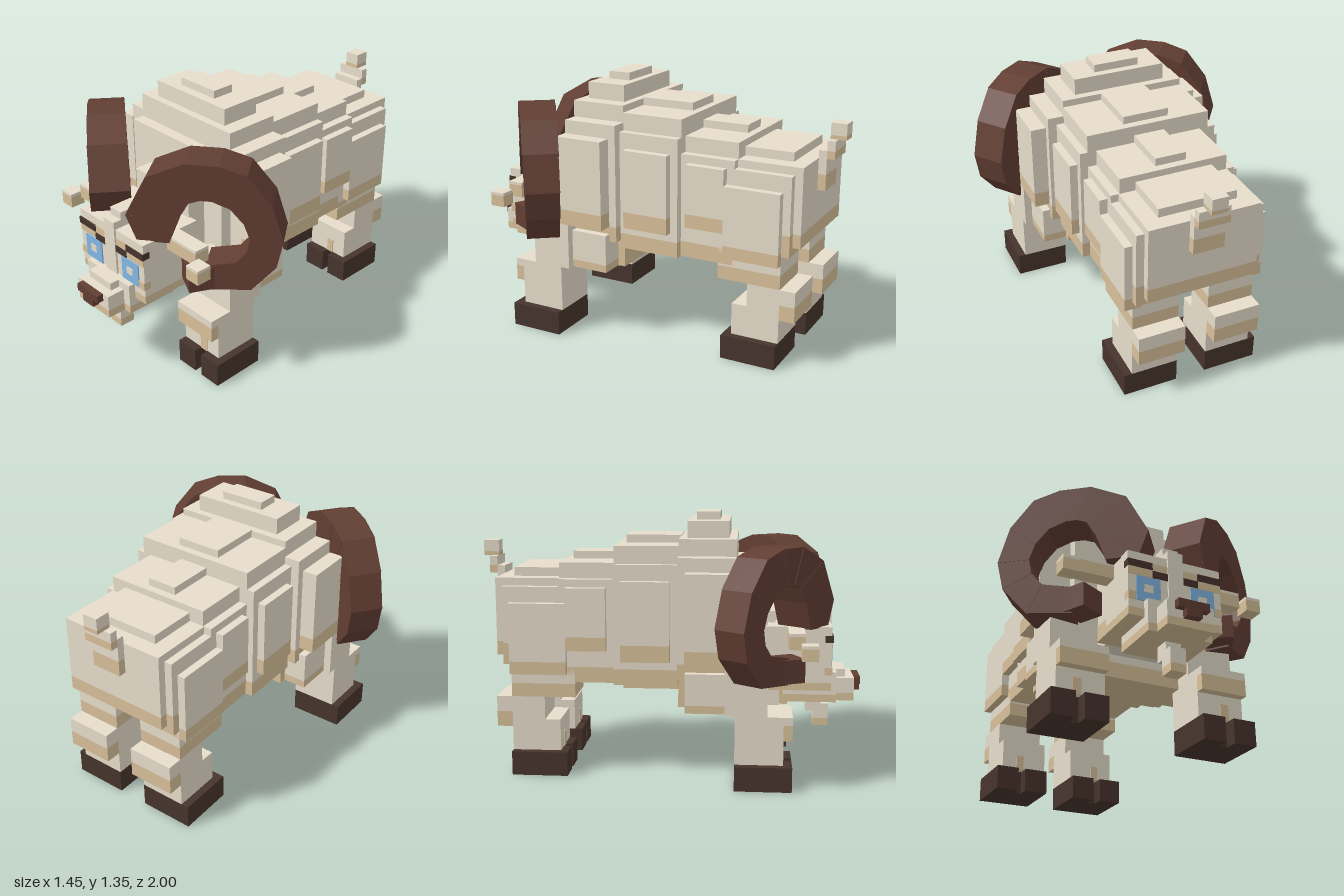
import * as THREE from 'three';

const mat = (name, color) => {
  const m = new THREE.MeshStandardMaterial({ color });
  m.name = name;
  return m;
};

export function createModel() {
  const root = new THREE.Group();
  root.name = 'ram';
  const cream = mat('creamWool', 0xe6ddcb);
  const tan = mat('tanWool', 0xd8c09a);
  const dark = mat('darkHoof', 0x47342d);
  const brown = mat('hornBrown', 0x623e33);
  const blue = mat('eyeBlue', 0x82b7e4);

  // Box given by its limits
  const box = (name, m, x0, x1, y0, y1, z0, z1) => {
    const mesh = new THREE.Mesh(new THREE.BoxGeometry(x1 - x0, y1 - y0, z1 - z0), m);
    mesh.position.set((x0 + x1) / 2, (y0 + y1) / 2, (z0 + z1) / 2);
    mesh.name = name;
    root.add(mesh);
  };
  // Box centred on x = 0
  const mid = (name, m, w, ...r) => box(name, m, -w, w, ...r);
  // Same box on the left and right sides
  const pair = (name, m, x0, x1, ...r) => {
    box(name + 'Left', m, x0, x1, ...r);
    box(name + 'Right', m, -x1, -x0, ...r);
  };
  // Cream block with a tan lower band up to height s
  const wool = (put, name, x, y0, s, y1, z0, z1) => {
    put(name + 'Band', tan, ...x, y0, s, z0, z1);
    put(name, cream, ...x, s, y1, z0, z1);
  };

  // Chest and shoulder hump
  wool(mid, 'chest', [0.41], 0.53, 0.61, 1.14, 0.06, 0.35);
  wool(mid, 'breast', [0.245], 0.33, 0.41, 0.53, 0.14, 0.41);
  mid('breastRear', tan, 0.325, 0.37, 0.53, 0.06, 0.3);
  mid('chestTop', cream, 0.325, 1.14, 1.225, 0.06, 0.35);
  mid('humpLower', cream, 0.245, 1.225, 1.31, 0.1, 0.31);
  mid('humpUpper', cream, 0.12, 1.31, 1.35, 0.14, 0.26);
  wool(pair, 'shoulderPlate', [0.41, 0.49], 0.61, 0.69, 1.07, 0.1, 0.355);
  wool(pair, 'shoulderLower', [0.325, 0.45], 0.37, 0.41, 0.57, 0.1, 0.35);
  mid('chestFront', cream, 0.325, 0.53, 1.1, 0.35, 0.41);

  // Middle of the body
  wool(mid, 'middle', [0.365], 0.49, 0.57, 1.1, -0.265, 0.06);
  mid('middleTop', cream, 0.325, 1.1, 1.19, -0.265, 0.06);
  mid('middleRidge', cream, 0.12, 1.19, 1.23, -0.225, 0.06);
  mid('belly', tan, 0.285, 0.455, 0.49, -0.225, 0.06);
  wool(pair, 'middlePlate', [0.365, 0.405], 0.615, 0.7, 1.02, -0.225, 0.02);

  // Loin
  wool(mid, 'loin', [0.325], 0.49, 0.57, 1.02, -0.55, -0.265);
  mid('loinTop', cream, 0.28, 1.02, 1.1, -0.55, -0.265);
  mid('loinRidge', cream, 0.08, 1.1, 1.14, -0.51, -0.265);
  wool(pair, 'loinPlate', [0.325, 0.365], 0.66, 0.73, 0.98, -0.51, -0.305);

  // Rump
  wool(mid, 'rump', [0.325], 0.58, 0.69, 0.98, -0.84, -0.55);
  mid('rumpTop', cream, 0.285, 0.98, 1.02, -0.84, -0.55);
  mid('rumpRidge', cream, 0.2, 1.02, 1.065, -0.8, -0.55);
  wool(mid, 'rumpBack', [0.285], 0.62, 0.69, 1.02, -0.88, -0.84);
  wool(pair, 'thighPlate', [0.28, 0.365], 0.535, 0.6, 0.9, -0.8, -0.51);

  // Tail, rising in steps
  wool(mid, 'tailBase', [0.08], 0.86, 0.94, 1.06, -0.92, -0.88);
  wool(mid, 'tailMiddle', [0.08], 1.02, 1.06, 1.11, -0.96, -0.92);
  wool(mid, 'tailTip', [0.04], 1.11, 1.13, 1.19, -1.0, -0.92);

  // Cloven hooves: a block with two toes in front
  const hoof = (name, x0, x1, n0, n1, z0, z1) => {
    pair(name + 'Heel', dark, x0, x1, 0, 0.125, z0, z1 - 0.07);
    pair(name + 'InnerToe', dark, x0, n0, 0, 0.125, z1 - 0.07, z1);
    pair(name + 'OuterToe', dark, n1, x1, 0, 0.125, z1 - 0.07, z1);
  };
  hoof('frontHoof', 0.245, 0.53, 0.365, 0.41, 0.35, 0.635);
  hoof('rearHoof', 0.08, 0.365, 0.205, 0.245, -0.8, -0.51);

  // Front legs
  pair('frontLeg', cream, 0.245, 0.49, 0.125, 0.37, 0.35, 0.59);
  wool(pair, 'frontKnee', [0.245, 0.49], 0.25, 0.33, 0.37, 0.59, 0.635);
  pair('frontLegUpper', cream, 0.245, 0.49, 0.37, 0.61, 0.3, 0.51);
  pair('frontShinMark', tan, 0.365, 0.41, 0.125, 0.205, 0.59, 0.595);

  // Rear legs
  pair('rearLeg', cream, 0.08, 0.325, 0.125, 0.29, -0.8, -0.55);
  pair('rearLegMiddle', cream, 0.08, 0.325, 0.29, 0.41, -0.8, -0.63);
  wool(pair, 'rearLegUpper', [0.08, 0.325], 0.41, 0.48, 0.58, -0.8, -0.47);
  wool(pair, 'rearHock', [0.08, 0.325], 0.25, 0.33, 0.41, -0.88, -0.8);
  pair('rearShinMark', tan, 0.205, 0.245, 0.125, 0.205, -0.55, -0.545);

  // Neck and head
  mid('neck', cream, 0.2, 0.45, 0.9, 0.41, 0.51);
  mid('neckFront', cream, 0.12, 0.5, 0.84, 0.51, 0.55);
  wool(mid, 'headBack', [0.245], 0.45, 0.53, 0.78, 0.5, 0.6);
  wool(mid, 'head', [0.245], 0.45, 0.49, 0.78, 0.6, 0.835);
  mid('noseBridge', cream, 0.04, 0.53, 0.82, 0.8, 0.845);
  mid('crest', cream, 0.04, 0.78, 0.86, 0.55, 0.8);
  wool(mid, 'jaw', [0.165], 0.37, 0.41, 0.45, 0.6, 0.87);
  mid('snoutBase', cream, 0.165, 0.41, 0.53, 0.835, 0.87);
  mid('snoutTop', cream, 0.085, 0.49, 0.53, 0.87, 0.92);
  wool(mid, 'snout', [0.12], 0.37, 0.41, 0.49, 0.87, 0.965);
  mid('noseUpper', brown, 0.08, 0.45, 0.49, 0.965, 1.0);
  mid('noseLower', brown, 0.04, 0.41, 0.45, 0.965, 1.0);

  // Beard
  mid('beard', cream, 0.04, 0.29, 0.37, 0.72, 0.8);
  wool(mid, 'beardTip', [0.04], 0.21, 0.25, 0.33, 0.76, 0.84);

  // Eyes and brows
  pair('browPatch', tan, 0.04, 0.245, 0.66, 0.735, 0.835, 0.838);
  pair('browOuter', dark, 0.12, 0.247, 0.7, 0.735, 0.8, 0.843);
  pair('browInner', dark, 0.04, 0.12, 0.66, 0.695, 0.836, 0.843);
  pair('eye', blue, 0.08, 0.205, 0.53, 0.655, 0.835, 0.841);
  pair('pupil', cream, 0.12, 0.165, 0.575, 0.615, 0.841, 0.844);
  pair('cheekMark', tan, 0.205, 0.246, 0.53, 0.57, 0.8, 0.84);

  // Ears
  wool(pair, 'ear', [0.245, 0.45], 0.7, 0.765, 0.78, 0.61, 0.69);
  wool(pair, 'earTip', [0.45, 0.53], 0.66, 0.72, 0.735, 0.67, 0.75);

  // Curled horns: outer and inner corner of each joint, from base to tip
  const joints = [
    [-0.32, -0.08, -0.165, -0.08], [-0.37, 0.055, -0.115, 0.06], [-0.265, 0.26, -0.07, 0.14],
    [-0.09, 0.34, -0.02, 0.158], [0.07, 0.34, 0.035, 0.158], [0.2, 0.3, 0.12, 0.125],
    [0.315, 0.155, 0.184, 0.05], [0.37, -0.03, 0.213, -0.03], [0.34, -0.175, 0.199, -0.105],
    [0.22, -0.315, 0.146, -0.17], [0.0, -0.337, 0.0, -0.2],
  ];
  const horn = (name, side) => {
    const group = new THREE.Group();
    group.name = name;
    const add = (part, geo) => {
      const mesh = new THREE.Mesh(geo, brown);
      mesh.name = part;
      group.add(mesh);
      return mesh;
    };
    for (let i = 0; i < joints.length - 1; i++) {
      const [ax, ay, bx, by] = joints[i];
      const [cx, cy, dx, dy] = joints[i + 1];
      const corners = [[ax, ay], [cx, cy], [dx, dy], [bx, by]];
      const shape = new THREE.Shape(corners.map(([x, y]) => new THREE.Vector2(side * x, y)));
      // Each segment is a little thinner than the one before
      const depth = 0.2 - 0.004 * i;
      const geo = new THREE.ExtrudeGeometry(shape, { depth, bevelEnabled: false });
      geo.translate(0, 0, -depth / 2);
      add('hornSegment', geo);
    }
    // Tip turned outwards
    const tip = add('hornTip', new THREE.BoxGeometry(0.13, 0.12, 0.14));
    tip.position.set(side * -0.04, -0.268, 0.045);
    tip.rotation.y = side * 0.45;
    group.position.set(side * 0.375, 0.855, 0.544);
    group.rotation.y = side * 0.647;
    root.add(group);
  };
  horn('hornLeft', 1);
  horn('hornRight', -1);

  return root;
}
